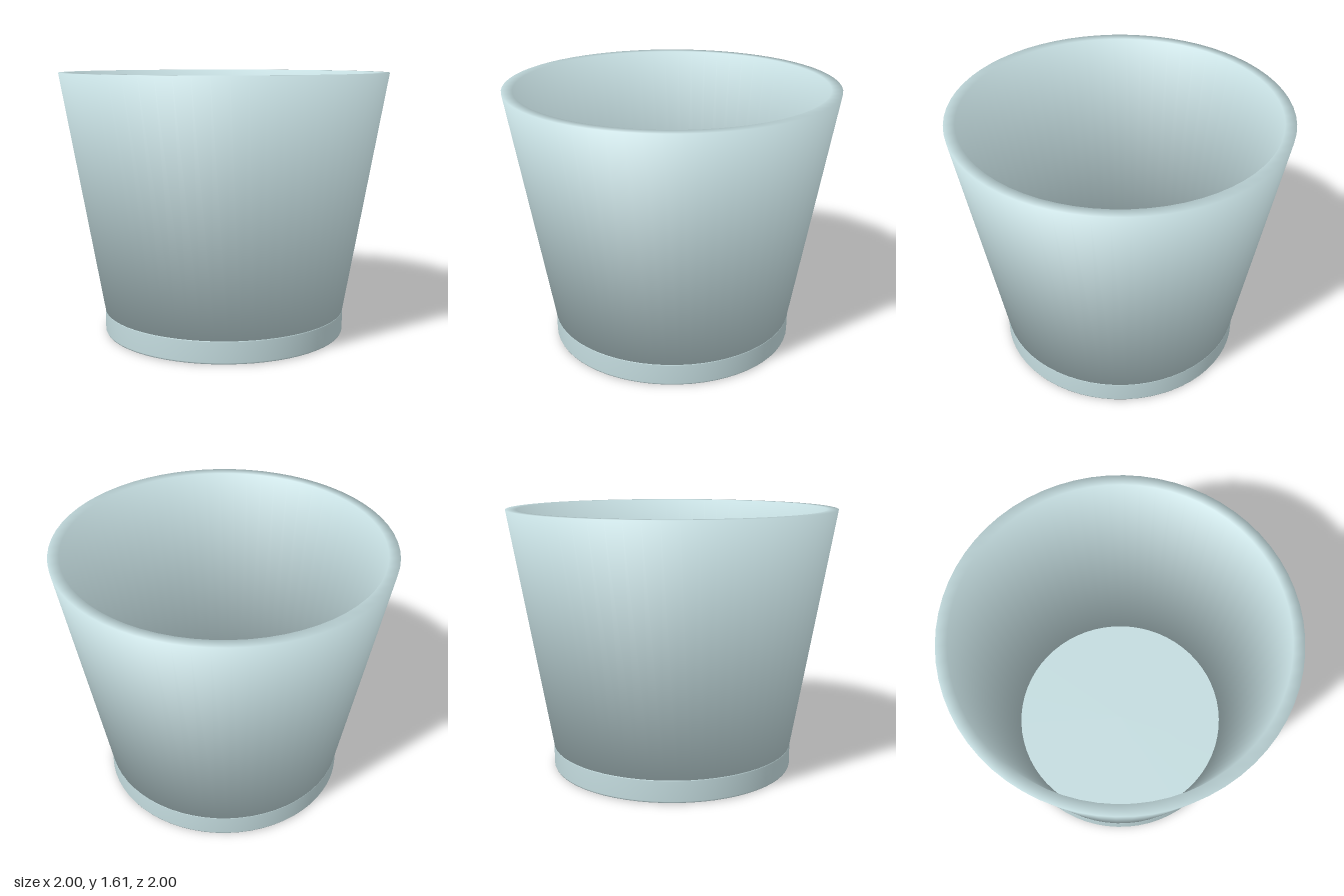
import * as THREE from 'three';

const SEGMENTS = 64;

// Revolves a closed outline, giving each corner the mean normal of its two edges
function softRing(corners) {
  const n = corners.length;
  const edgeNormals = corners.map(([x, y], i) => {
    const [nx, ny] = corners[(i + 1) % n];
    return new THREE.Vector2(ny - y, x - nx).normalize();
  });
  const cornerNormals = corners.map((_, i) =>
    edgeNormals[i].clone().add(edgeNormals[(i + n - 1) % n]).normalize());

  const points = [...corners, corners[0]].map(([x, y]) => new THREE.Vector2(x, y));
  const geometry = new THREE.LatheGeometry(points, SEGMENTS);
  const normals = geometry.attributes.normal;
  for (let s = 0; s <= SEGMENTS; s++) {
    const phi = (s / SEGMENTS) * Math.PI * 2;
    for (let j = 0; j <= n; j++) {
      const c = cornerNormals[j % n];
      normals.setXYZ(s * (n + 1) + j, c.x * Math.sin(phi), c.y, c.x * Math.cos(phi));
    }
  }
  return geometry;
}

export function createModel() {
  const group = new THREE.Group();
  group.name = 'plantPot';
  const glaze = new THREE.MeshStandardMaterial({ color: 0xc4dcdf });
  glaze.name = 'paleBlueGlaze';

  // Flared wall with a thin soft rim
  const wall = new THREE.Mesh(
    softRing([[0.75, 0.138], [1, 1.605], [0.935, 1.605], [0.69, 0.138]]), glaze);
  wall.name = 'wall';

  // Solid base disc with slightly eased edges; its top is the inner floor
  const profile = [
    [0, 0], [0.738, 0], [0.746, 0.003], [0.75, 0.012],
    [0.75, 0.132], [0.748, 0.138], [0.742, 0.14], [0, 0.14],
  ].map(([x, y]) => new THREE.Vector2(x, y));
  const base = new THREE.Mesh(new THREE.LatheGeometry(profile, SEGMENTS), glaze);
  base.name = 'base';

  group.add(wall, base);
  return group;
}
